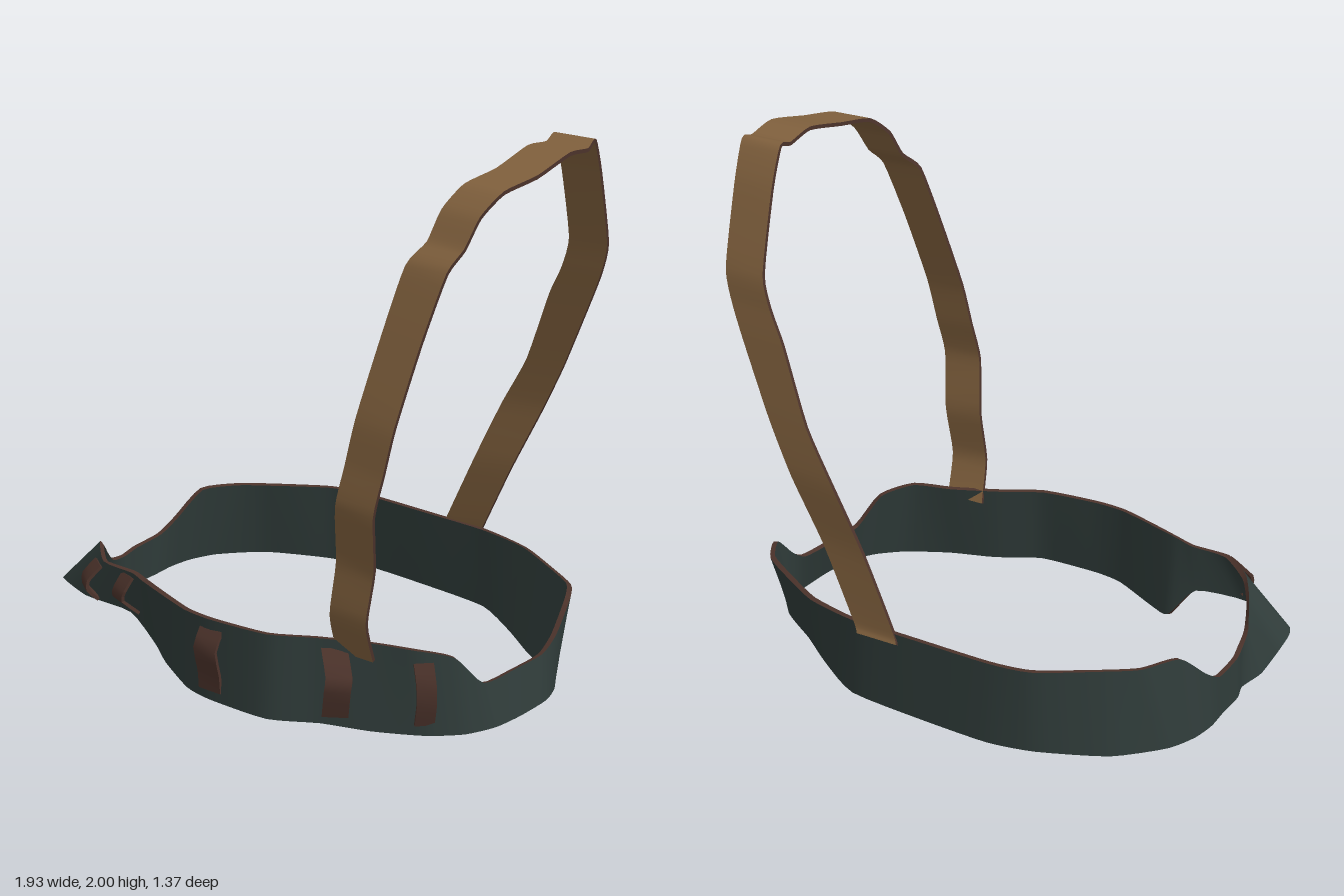
import * as THREE from 'three';

const flat = (name, color) => {
  const m = new THREE.MeshStandardMaterial({ color });
  m.name = name;
  return m;
};

// Slightly rounded path through one edge of a ribbon, sampled in step with the opposite edge
function sampleEdge(points, closed, steps) {
  const curve = new THREE.CatmullRomCurve3(points.map(p => new THREE.Vector3(...p)), closed, 'catmullrom', 0.3);
  const n = (closed ? points.length : points.length - 1) * steps;
  return Array.from({ length: closed ? n : n + 1 }, (_, i) => curve.getPoint(i / n));
}

function geometryOf(points, index) {
  const g = new THREE.BufferGeometry().setFromPoints(points);
  g.setIndex(index);
  g.computeVertexNormals();
  return g;
}

// Thick ribbon between edges a and b: two broad faces and a separate rim
function ribbon(name, edgeA, edgeB, { closed = false, thick, steps = 4, face, rim }) {
  const a = sampleEdge(edgeA, closed, steps), b = sampleEdge(edgeB, closed, steps);
  const n = a.length, spans = closed ? n : n - 1;
  const mid = [...a, ...b], front = [], back = [];
  for (let i = 0; i < spans; i++) {
    const j = (i + 1) % n;
    front.push(i, j, n + j, i, n + j, n + i);
    back.push(i, n + j, j, i, n + i, n + j);
  }
  const normals = geometryOf(mid, front).attributes.normal;
  const shift = d => mid.map((p, i) => p.clone().addScaledVector(new THREE.Vector3().fromBufferAttribute(normals, i), d));
  const out = shift(thick / 2), inn = shift(-thick / 2);

  const rimPts = [], rimIdx = [];
  const quad = (p, q, r, s) => {
    const k = rimPts.length;
    rimPts.push(p, q, r, s);
    rimIdx.push(k, k + 1, k + 2, k, k + 2, k + 3);
  };
  for (let i = 0; i < spans; i++) {
    const j = (i + 1) % n;
    quad(out[i], inn[i], inn[j], out[j]);
    quad(out[n + j], inn[n + j], inn[n + i], out[n + i]);
  }
  if (!closed) {
    quad(out[0], out[n], inn[n], inn[0]);
    quad(inn[n - 1], inn[2 * n - 1], out[2 * n - 1], out[n - 1]);
  }
  const group = new THREE.Group();
  group.name = name;
  const add = (part, g, m) => {
    const mesh = new THREE.Mesh(g, m);
    mesh.name = name + part;
    group.add(mesh);
  };
  add('Outside', geometryOf(out, front), face);
  add('Inside', geometryOf(inn, back), face);
  add('Rim', geometryOf(rimPts, rimIdx), rim);
  return group;
}

export function createModel() {
  const cloth = flat('dark teal cloth', 0x2f3b39);
  const leather = flat('tan leather', 0x80603d);
  const trim = flat('dark brown trim', 0x4c332b);
  const model = new THREE.Group();
  model.name = 'beltWithShoulderStrap';

  // Belt edges, running from front centre round the left side, back and right side
  const top = [
    [0, .315, .64], [.23, .315, .615], [.39, .315, .53], [.57, .315, .45], [.72, .315, .405],
    [.82, .28, .31], [.88, .165, .22], [.9, .16, .05], [.915, .165, -.1], [.92, .215, -.18],
    [.905, .315, -.29], [.84, .315, -.4], [.7, .315, -.49], [.52, .315, -.59], [.3, .315, -.64], [0, .315, -.65],
    [-.28, .315, -.655], [-.44, .315, -.63], [-.65, .315, -.5], [-.76, .315, -.42], [-.84, .315, -.29],
    [-.885, .215, -.18], [-.905, .165, -.1], [-.9, .16, .05], [-.88, .16, .14], [-.86, .18, .23],
    [-.83, .26, .3], [-.78, .315, .37], [-.65, .315, .49], [-.5, .315, .5], [-.42, .315, .53],
    [-.31, .315, .57], [-.13, .315, .63],
  ];
  const bottom = [
    [0, 0, .645], [.25, 0, .64], [.42, 0, .55], [.6, 0, .49], [.77, 0, .4],
    [.87, 0, .31], [.925, 0, .2], [.945, 0, .08], [.95, 0, -.08], [.92, 0, -.18],
    [.87, 0, -.26], [.8, 0, -.31], [.69, 0, -.38], [.53, 0, -.5], [.32, 0, -.63], [0, 0, -.66],
    [-.28, 0, -.67], [-.46, 0, -.635], [-.7, 0, -.53], [-.85, 0, -.38], [-.9, 0, -.27],
    [-.915, 0, -.17], [-.91, 0, -.07], [-.91, 0, .05], [-.89, 0, .13], [-.92, .01, .24],
    [-.96, .09, .32], [-.955, .13, .4], [-.75, .15, .49], [-.53, .14, .48], [-.43, .02, .45],
    [-.33, 0, .51], [-.13, 0, .62],
  ];
  model.add(ribbon('belt', bottom, top, { closed: true, thick: 0.019, face: cloth, rim: trim }));

  // Shoulder strap: right edge x, left edge x, y, z from the front end over to the back end
  const strap = [
    [.44, .60, .265, .48], [.46, .615, .43, .545], [.48, .64, .63, .535], [.505, .665, .85, .575],
    [.53, .69, 1.0, .555], [.56, .72, 1.17, .535], [.605, .765, 1.45, .455], [.645, .81, 1.68, .38],
    [.68, .83, 1.75, .31], [.695, .85, 1.85, .25], [.72, .88, 1.92, .16], [.74, .905, 1.945, 0],
    [.735, .905, 1.985, -.2], [.72, .89, 1.97, -.34], [.705, .87, 1.985, -.42], [.69, .85, 1.85, -.5],
    [.67, .83, 1.57, -.6], [.635, .8, 1.45, -.615], [.575, .75, 1.33, -.63], [.47, .63, 1.05, -.655], [.36, .535, .85, -.665],
    [.25, .42, .6, -.645], [.12, .29, .32, -.655], [.1, .27, .28, -.668],
  ];
  model.add(ribbon('shoulderStrap',
    strap.map(([, l, y, z]) => [l, y, z]), strap.map(([r, , y, z]) => [r, y, z]),
    { thick: 0.014, face: leather, rim: trim }));

  // Belt loops: half width in x, sideways slope in z, then centre points from bottom to top
  const loops = [
    ['centreLoop', .05, 0, [[0, .04, .655], [0, .11, .66], [0, .21, .682], [0, .28, .64]]],
    ['leftLoop', .04, -.025, [[.48, .04, .545], [.505, .15, .565], [.505, .2, .555], [.45, .28, .51]]],
    ['leftSideLoop', .025, -.025, [[.765, .04, .405], [.785, .13, .42], [.785, .21, .425], [.765, .28, .415]]],
    ['rightLoop', .035, .012, [[-.5, .16, .5], [-.545, .21, .54], [-.535, .25, .54], [-.52, .3, .51]]],
    ['rightSideLoop', .035, .025, [[-.69, .17, .505], [-.715, .21, .535], [-.715, .25, .53], [-.685, .3, .49]]],
  ];
  for (const [name, w, dz, path] of loops) {
    const edge = s => path.map(([x, y, z]) => [x + s * w, y, z + s * dz]);
    model.add(ribbon(name, edge(1), edge(-1), { thick: 0.012, steps: 2, face: trim, rim: trim }));
  }
  return model;
}
